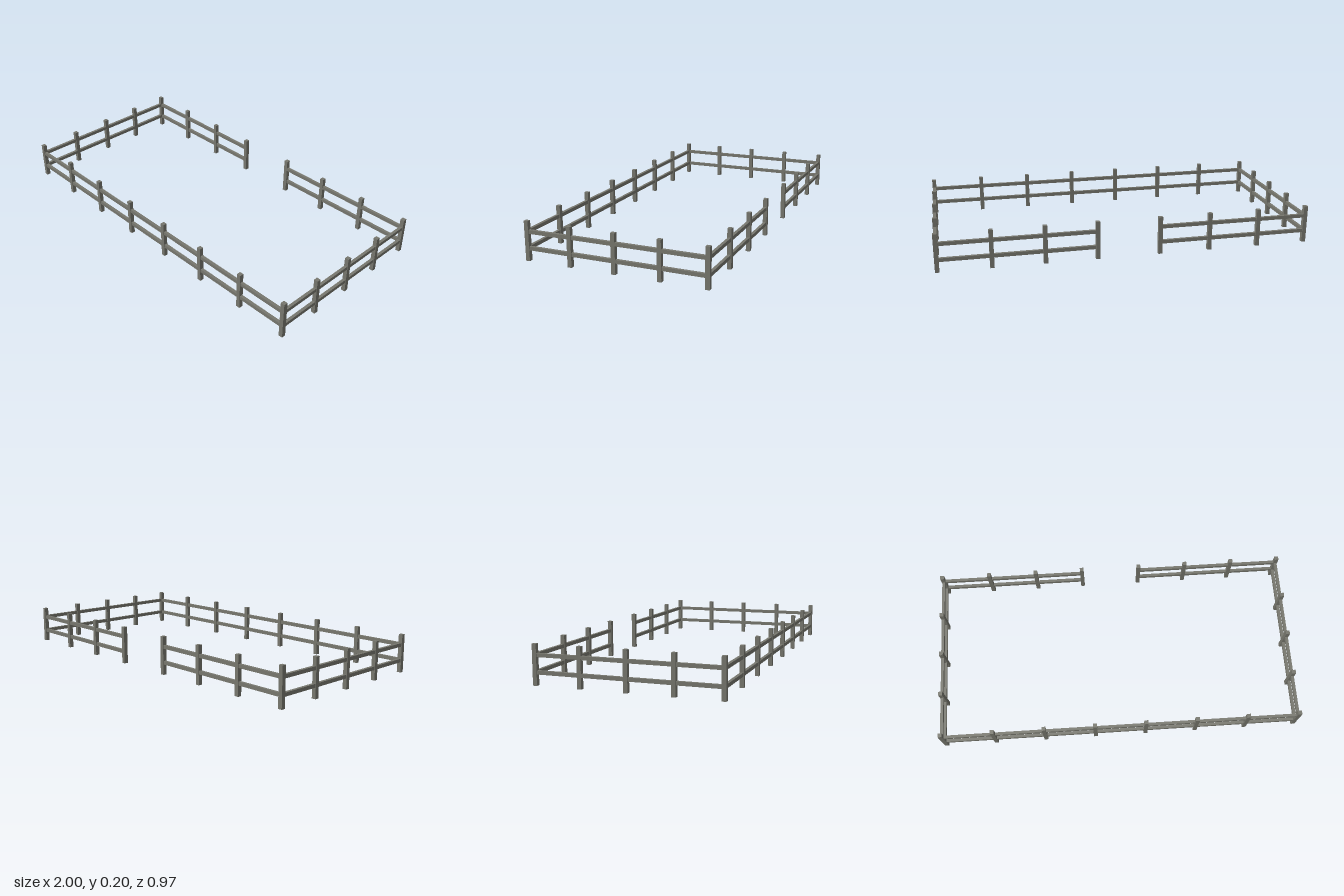
import * as THREE from 'three';

const X = 0.989, Z = 0.474;     // corner post centres
const POST = 0.022, HEIGHT = 0.205;
const RAIL_H = 0.019, RAIL_D = 0.016;
const RAIL_Y = [0.065, 0.15];
const GAP = 0.168;              // half width of the gateway at the back

export function createModel() {
  const group = new THREE.Group();
  const wood = new THREE.MeshStandardMaterial({ color: 0x77776e });
  wood.name = 'weathered wood';

  const box = (name, w, h, d, x, y, z) => {
    const mesh = new THREE.Mesh(new THREE.BoxGeometry(w, h, d), wood);
    mesh.name = name;
    mesh.position.set(x, y, z);
    group.add(mesh);
  };
  const post = (x, z) => box('post', POST, HEIGHT, POST, x, HEIGHT / 2, z);

  // Straight run along x: evenly spaced posts and two rails
  const runX = (name, x0, x1, z, bays) => {
    for (let i = 0; i <= bays; i++) post(x0 + ((x1 - x0) * i) / bays, z);
    for (const y of RAIL_Y) box(name, Math.abs(x1 - x0), RAIL_H, RAIL_D, (x0 + x1) / 2, y, z);
  };

  // Front, and the back in two halves with the gateway between
  runX('frontRail', -X, X, Z, 7);
  runX('backRightRail', -X, -GAP, -Z, 3);
  runX('backLeftRail', X, GAP, -Z, 3);

  // Sides: the corner posts already stand, so only the inner posts are added
  for (const s of [-1, 1]) {
    for (let i = 1; i < 4; i++) post(s * X, -Z + (2 * Z * i) / 4);
    for (const y of RAIL_Y) box(s > 0 ? 'leftRail' : 'rightRail', RAIL_D, RAIL_H, 2 * Z, s * X, y, 0);
  }
  return group;
}
